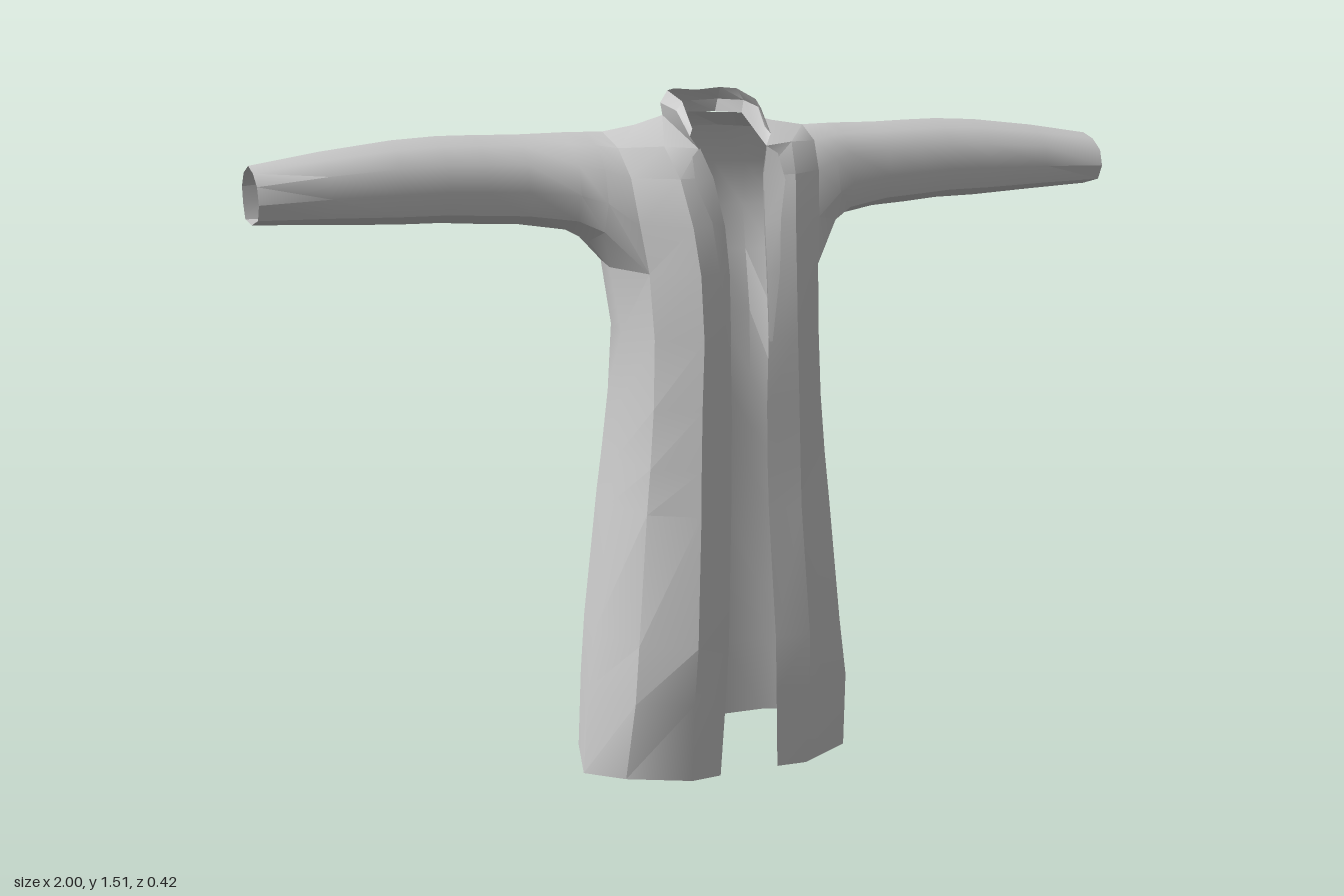
import * as THREE from 'three';
import { mergeGeometries, toCreasedNormals } from 'three/addons/utils/BufferGeometryUtils.js';

const material = new THREE.MeshStandardMaterial({ color: 0xcccccc, side: THREE.DoubleSide });
const flip = ([x, y, z]) => [-x, y, z];

// Skin a grid of points; rows run along the part, columns go around it
function skin(rows, closed = false) {
  const n = rows[0].length, index = [];
  for (let i = 0; i < rows.length - 1; i++) {
    for (let j = 0; j < (closed ? n : n - 1); j++) {
      const a = i * n + j, b = i * n + (j + 1) % n;
      index.push(a, b, b + n, a, b + n, a + n);
    }
  }
  const geometry = new THREE.BufferGeometry();
  geometry.setAttribute('position', new THREE.Float32BufferAttribute(rows.flat(2), 3));
  geometry.setIndex(index);
  return geometry;
}

const mirrored = rows => rows.map(row => row.map(flip).reverse());
// Complete a half row that ends on the centre line
const wholeRows = rows => rows.map(row => [...row, ...row.slice(0, -1).reverse().map(flip)]);

function part(name, ...geometries) {
  const mesh = new THREE.Mesh(toCreasedNormals(mergeGeometries(geometries), 0.65), material);
  mesh.name = name;
  return mesh;
}

// Skirt and torso: height, then [x, z] of front edge, front, front corner,
// side, back corner, back, inner back, centre back
const torso = [
  [0.02, [0.07, 0.185], [0.14, 0.19], [0.27, 0.12], [0.325, 0], [0.29, -0.125], [0.2, -0.168], [0.1, -0.174], [0, -0.175]],
  [0.2, [0.062, 0.195], [0.14, 0.203], [0.258, 0.15], [0.31, 0], [0.28, -0.13], [0.2, -0.17], [0.1, -0.176], [0, -0.177]],
  [0.33, [0.057, 0.2], [0.135, 0.212], [0.245, 0.142], [0.296, 0], [0.268, -0.135], [0.19, -0.172], [0.1, -0.177], [0, -0.178]],
  [0.62, [0.045, 0.185], [0.12, 0.195], [0.22, 0.13], [0.255, 0], [0.232, -0.14], [0.17, -0.175], [0.09, -0.18], [0, -0.18]],
  [0.72, [0.043, 0.182], [0.118, 0.192], [0.21, 0.127], [0.242, 0], [0.22, -0.135], [0.165, -0.163], [0.09, -0.167], [0, -0.167]],
  [0.85, [0.042, 0.18], [0.115, 0.19], [0.2, 0.124], [0.228, 0], [0.207, -0.128], [0.16, -0.16], [0.09, -0.165], [0, -0.166]],
  [1.0, [0.045, 0.18], [0.11, 0.19], [0.195, 0.12], [0.222, -0.005], [0.2, -0.122], [0.16, -0.163], [0.09, -0.168], [0, -0.17]],
  [1.14, [0.045, 0.167], [0.112, 0.178], [0.2, 0.105], [0.238, -0.03], [0.212, -0.15], [0.16, -0.187], [0.085, -0.192], [0, -0.193]],
].map(([y, ...points], i) => points.map(([x, z], j) => [x, i === 0 && j === 3 ? 0 : y, z]));
const chest = torso[torso.length - 1];

// Shoulder ridge shared by the front and back panels
const tip = [0.24, 1.43, -0.06], ridge = [0.165, 1.442, -0.06], neck = [0.095, 1.46, -0.07];

const frontPanel = [
  chest.slice(0, 3),
  [[0.048, 1.24, 0.148], [0.12, 1.24, 0.156], [0.212, 1.24, 0.085]],
  [[0.06, 1.34, 0.115], [0.135, 1.34, 0.122], [0.222, 1.34, 0.06]],
  [[0.08, 1.4, 0.09], [0.15, 1.405, 0.07], [0.233, 1.4, 0.015]],
  [neck, ridge, tip],
];
const backPanel = [
  chest.slice(4),
  [[0.228, 1.24, -0.178], [0.16, 1.24, -0.203], [0.085, 1.24, -0.207], [0, 1.24, -0.21]],
  [[0.238, 1.34, -0.185], [0.165, 1.34, -0.203], [0.09, 1.34, -0.21], [0, 1.34, -0.212]],
  [[0.245, 1.405, -0.155], [0.165, 1.42, -0.172], [0.09, 1.425, -0.185], [0, 1.425, -0.187]],
  [tip, ridge, neck, [0, 1.46, -0.145]],
];

// Sleeve: starts on the armhole and tapers to an open cuff
const armhole = [
  chest[2], chest[3], chest[4], backPanel[1][0], backPanel[2][0], backPanel[3][0],
  tip, frontPanel[3][2], frontPanel[2][2], frontPanel[1][2],
];
// Ring outline as fractions [depth, height], from low front under the arm and round
const outline = [[0.9, 0.13], [0.5, 0], [0.12, 0.05], [0.03, 0.3], [0, 0.6], [0.15, 0.85],
  [0.45, 1], [0.72, 0.9], [0.93, 0.7], [1, 0.4]];
const sleeve = [armhole, ...[
  // x, bottom, top, back z, front z
  [0.275, 1.195, 1.43, -0.178, 0.065],
  [0.325, 1.222, 1.43, -0.17, 0.038],
  [0.43, 1.238, 1.428, -0.168, 0.014],
  [0.52, 1.243, 1.43, -0.162, 0.006],
  [0.6, 1.248, 1.43, -0.172, 0],
  [0.7, 1.25, 1.425, -0.163, 0],
  [0.85, 1.258, 1.408, -0.155, 0.003],
  [1, 1.265, 1.385, -0.148, 0.005],
].map(([x, bottom, top, back, front]) =>
  outline.map(([d, h]) => [x, bottom + h * (top - bottom), back + d * (front - back)]))];

// Standing collar, from the neckline up to its rim
const collar = [
  [[0.08, 1.4, 0.09], [0.0875, 1.43, 0.01], neck, [0.055, 1.46, -0.125], [0, 1.46, -0.145]],
  [[0.095, 1.425, 0.08], [0.1, 1.475, 0.02], [0.1, 1.487, -0.07], [0.06, 1.488, -0.122], [0, 1.485, -0.135]],
  [[0.085, 1.44, 0.07], [0.087, 1.495, 0.02], [0.083, 1.513, -0.07], [0.055, 1.515, -0.097], [0, 1.51, -0.105]],
];

// Folded lapel lying just in front of the front edge
const lapel = [
  [[0.045, 0.99, 0.183], [0.052, 0.99, 0.185]],
  [[0.044, 1.14, 0.173], [0.07, 1.14, 0.182]],
  [[0.047, 1.24, 0.155], [0.08, 1.25, 0.164]],
  [[0.059, 1.34, 0.122], [0.105, 1.33, 0.133]],
  [[0.078, 1.4, 0.096], [0.1, 1.385, 0.105]],
];

export function createModel() {
  const group = new THREE.Group();
  group.name = 'coat';
  group.add(
    part('coatBody', skin(wholeRows(torso)), skin(frontPanel), skin(mirrored(frontPanel)), skin(wholeRows(backPanel))),
    part('leftSleeve', skin(sleeve, true)),
    part('rightSleeve', skin(mirrored(sleeve), true)),
    part('collar', skin(wholeRows(collar))),
    part('leftLapel', skin(lapel)),
    part('rightLapel', skin(mirrored(lapel))),
  );
  return group;
}
